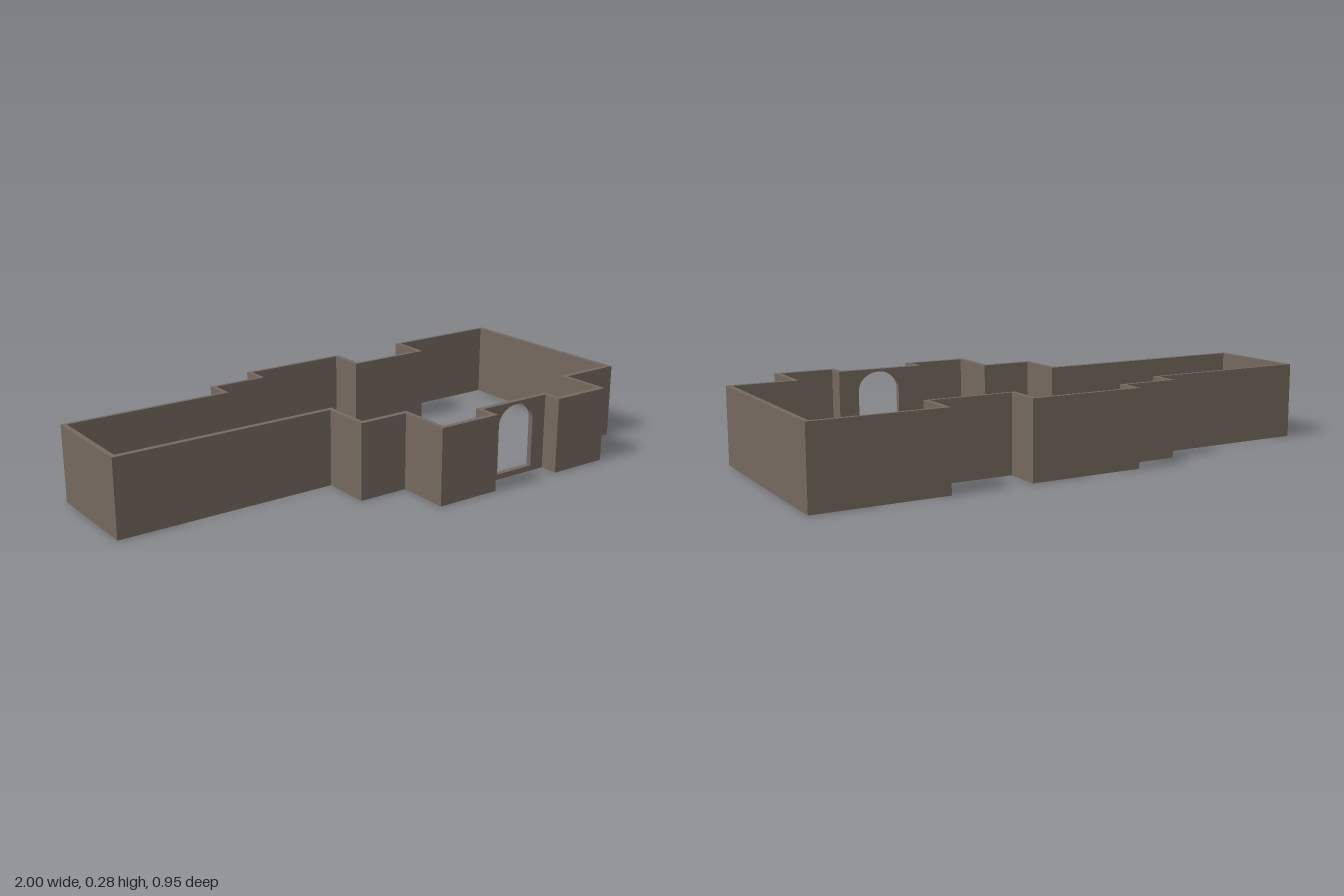
import * as THREE from 'three';

const HEIGHT = 0.277;

// Outer corners as [x, z], from the right end of the door wall round to its left end
const OUTLINE = [
  [0.535, 0.4], [0.535, 0.468], [0.765, 0.468], [0.765, 0.281],
  [1, 0.281], [1, -0.475], [0.533, -0.475], [0.533, -0.332],
  [0.237, -0.332], [0.237, -0.466], [-0.181, -0.466], [-0.181, -0.383],
  [-0.385, -0.383], [-0.385, -0.294], [-1, -0.294], [-1, 0.099],
  [-0.187, 0.099], [-0.187, 0.279], [0, 0.279], [0, 0.475],
  [0.243, 0.475], [0.243, 0.4],
];

// Inward shift of one straight wall: front walls are thickest, rear walls thinnest
function inward([x0, z0], [x1, z1]) {
  const dx = Math.sign(x1 - x0), dz = Math.sign(z1 - z0);
  const thickness = dx > 0 ? 0.02 : dx < 0 ? 0.013 : 0.017;
  return [dz * thickness, -dx * thickness];
}

// Inner corners: each takes the shift of the walls that meet there
function insetPath(points) {
  return points.map(([x, z], i) => {
    const a = i > 0 ? inward(points[i - 1], points[i]) : [0, 0];
    const b = i < points.length - 1 ? inward(points[i], points[i + 1]) : [0, 0];
    return [x + a[0] + b[0], z + a[1] + b[1]];
  });
}

export function createModel() {
  const group = new THREE.Group();
  group.name = 'buildingWalls';
  const material = new THREE.MeshStandardMaterial({ color: 0x75695f });

  const add = (name, geometry) => {
    const mesh = new THREE.Mesh(geometry, material);
    mesh.name = name;
    group.add(mesh);
    return mesh;
  };

  // Stepped perimeter wall, open where the door wall sits
  const inner = insetPath(OUTLINE);
  const plan = new THREE.Shape(
    [...OUTLINE, ...inner.slice().reverse()].map(([x, z]) => new THREE.Vector2(x, -z))
  );
  const wall = new THREE.ExtrudeGeometry(plan, { depth: HEIGHT, bevelEnabled: false });
  wall.rotateX(-Math.PI / 2);
  add('perimeterWall', wall);

  // Door wall with an arched opening above a low sill
  const left = inner[inner.length - 1][0], right = inner[0][0];
  const panel = new THREE.Shape();
  panel.moveTo(left, 0);
  panel.lineTo(right, 0);
  panel.lineTo(right, HEIGHT);
  panel.lineTo(left, HEIGHT);
  panel.closePath();

  const doorX = 0.397, halfWidth = 0.08, sill = 0.02, spring = 0.2, rise = 0.067;
  const opening = new THREE.Path();
  opening.moveTo(doorX - halfWidth, sill);
  opening.lineTo(doorX + halfWidth, sill);
  opening.lineTo(doorX + halfWidth, spring);
  opening.absellipse(doorX, spring, halfWidth, rise, 0, Math.PI, false, 0);
  opening.closePath();
  panel.holes.push(opening);

  const doorWall = new THREE.ExtrudeGeometry(panel, {
    depth: 0.02, bevelEnabled: false, curveSegments: 16,
  });
  add('doorWall', doorWall).position.z = 0.38;

  return group;
}
